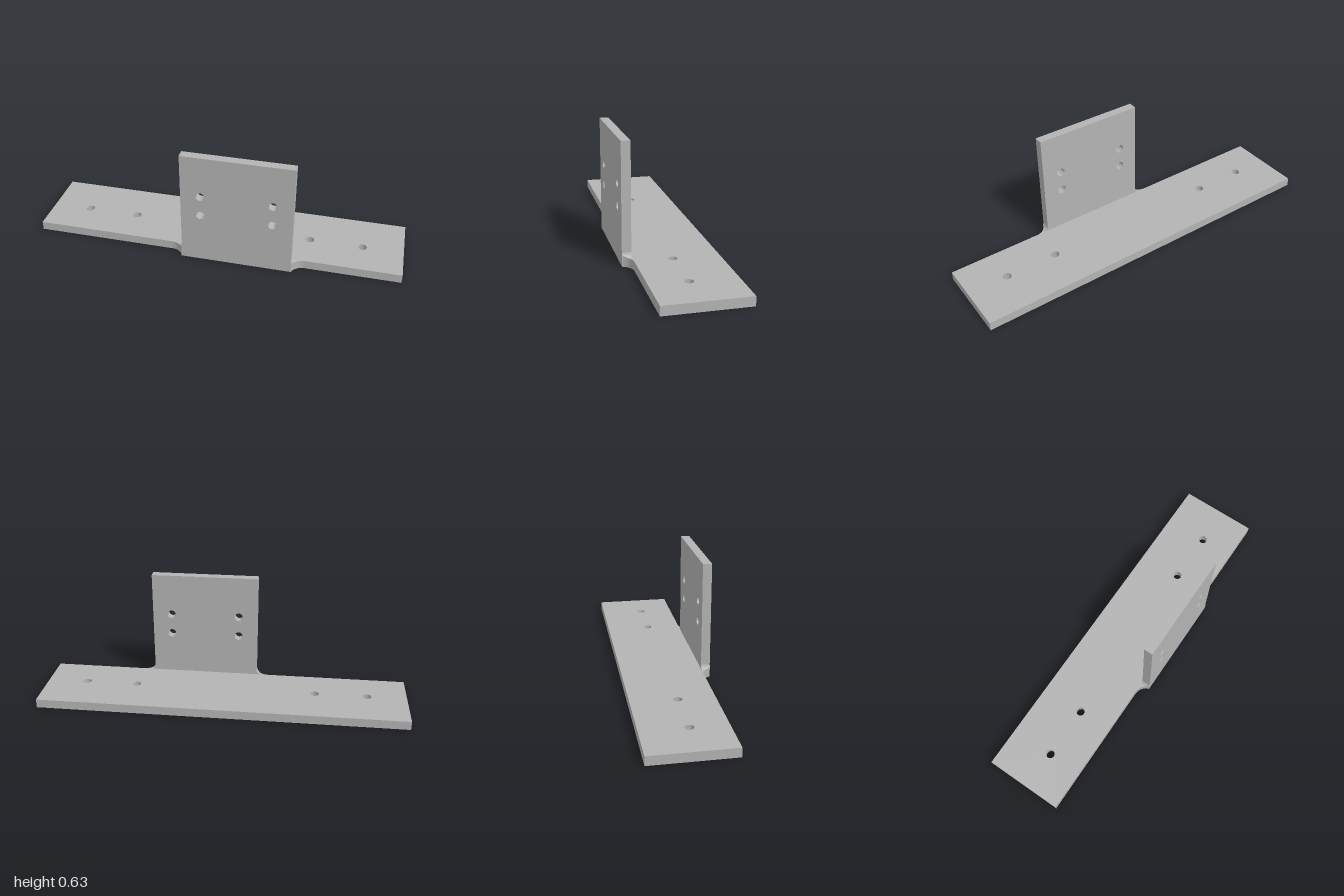
import * as THREE from 'three';
import { toCreasedNormals } from 'three/addons/utils/BufferGeometryUtils.js';

const T = 0.048;                    // plate thickness
const Z_BACK = -0.2385, Z_BEND = 0.1905, Z_FRONT = 0.2385;
const X_LEFT = 0.425, X_RIGHT = -0.165, TOP = 0.631;
const HOLE_R = 0.0235;
const PLAN_R = 0.07, TOP_R = 0.025; // corner radii beside the upright

// Rectangular plate with round holes, extruded by the plate thickness
function plate(x0, y0, x1, y1, holes) {
  const shape = new THREE.Shape([
    new THREE.Vector2(x0, y0), new THREE.Vector2(x1, y0),
    new THREE.Vector2(x1, y1), new THREE.Vector2(x0, y1),
  ]);
  for (const [x, y] of holes) {
    shape.holes.push(new THREE.Path().absarc(x, y, HOLE_R, 0, Math.PI * 2, true));
  }
  const geo = new THREE.ExtrudeGeometry(shape, { depth: T, bevelEnabled: false, curveSegments: 16 });
  return toCreasedNormals(geo, 0.6);
}

// Concave corner web between base and upright, swept front to back
function cornerWeb(xEdge, side) {
  const rows = 12, steps = 8, pos = [], index = [];
  const zc = Z_BEND + PLAN_R;
  const aMax = Math.acos((zc - Z_FRONT) / PLAN_R);
  const height = (d) => T + (d < TOP_R ? TOP_R - Math.sqrt(TOP_R ** 2 - (TOP_R - d) ** 2) : 0);
  const ring = steps + 4;
  const tri = (a, b, c) => (side > 0 ? index.push(a, b, c) : index.push(a, c, b));

  for (let i = 0; i <= rows; i++) {
    const a = (aMax * i) / rows;
    const z = zc - PLAN_R * Math.cos(a);
    const D = PLAN_R * (1 - Math.sin(a));
    const section = [[0, 0], [D, 0], [D, height(D)]];
    for (let k = 0; k <= steps; k++) {
      const d = Math.min(D, TOP_R) * (1 - k / steps) ** 2;
      section.push([d, height(d)]);
    }
    for (const [d, y] of section) pos.push(xEdge + side * d, y, z);
  }
  for (let i = 0; i < rows; i++) {
    for (let j = 0; j < ring; j++) {
      const k = (j + 1) % ring, p = i * ring, q = p + ring;
      tri(p + j, p + k, q + j);
      tri(p + k, q + k, q + j);
    }
  }
  // End caps
  const last = rows * ring;
  for (let j = 1; j < ring - 1; j++) {
    tri(0, j + 1, j);
    tri(last, last + j, last + j + 1);
  }
  const geo = new THREE.BufferGeometry();
  geo.setAttribute('position', new THREE.Float32BufferAttribute(pos, 3));
  geo.setIndex(index);
  return toCreasedNormals(geo, 0.6);
}

export function createModel() {
  const group = new THREE.Group();
  group.name = 'mountingBracket';
  const metal = new THREE.MeshStandardMaterial({ color: 0xb3b3b3 });
  metal.name = 'greyMetal';
  const add = (name, geo) => {
    const mesh = new THREE.Mesh(geo, metal);
    mesh.name = name;
    group.add(mesh);
    return mesh;
  };

  // Flat base, drawn in plan and laid down
  const base = add('basePlate', plate(-1, -Z_BEND, 1, -Z_BACK,
    [[-0.785, 0], [-0.5, 0], [0.495, 0], [0.78, 0]]));
  base.rotation.x = -Math.PI / 2;

  // Upright tab along the front edge
  const upright = add('uprightPlate', plate(X_RIGHT, 0, X_LEFT, TOP,
    [[-0.06, 0.4], [0.32, 0.4], [-0.06, 0.285], [0.32, 0.285]]));
  upright.position.z = Z_BEND;

  // Rounded corners either side of the tab
  add('leftCornerWeb', cornerWeb(X_LEFT, 1));
  add('rightCornerWeb', cornerWeb(X_RIGHT, -1));
  return group;
}
